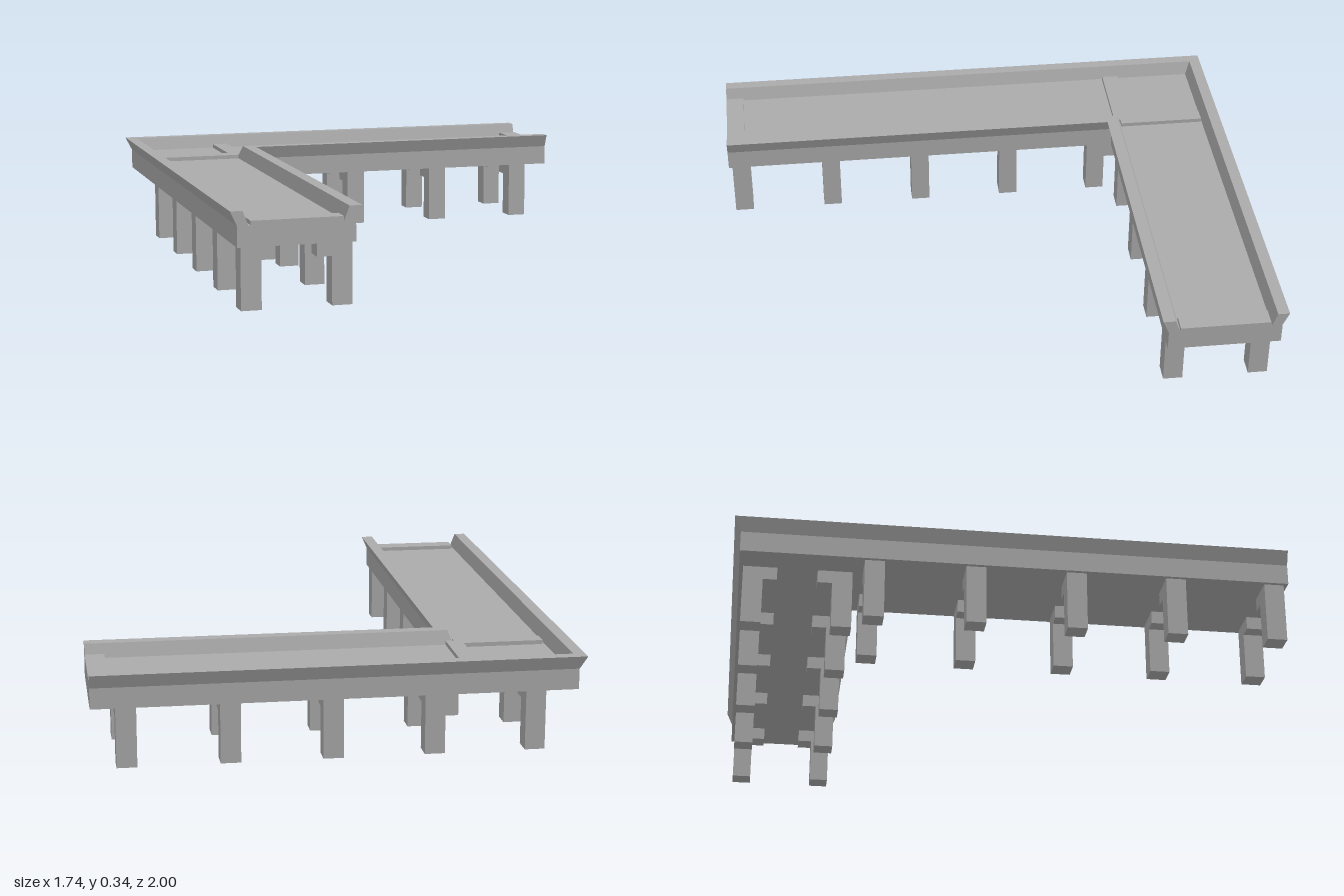
import * as THREE from 'three';

const X0 = -0.87, Z0 = -1, X1 = 0.87, Z1 = 1; // outer corner and the two arm ends
const FLOOR = 0.295;

export function createModel() {
  const model = new THREE.Group();
  model.name = 'cornerWalkway';
  const stone = new THREE.MeshStandardMaterial({ color: 0xaaaaaa });
  stone.name = 'grey stone';

  const add = (parent, name, geometry) => {
    const mesh = new THREE.Mesh(geometry, stone);
    mesh.name = name;
    parent.add(mesh);
    return mesh;
  };
  // box from its minimum and maximum corners
  const block = (parent, name, a, b) => {
    const mesh = add(parent, name, new THREE.BoxGeometry(b[0] - a[0], b[1] - a[1], b[2] - a[2]));
    mesh.position.set((a[0] + b[0]) / 2, (a[1] + b[1]) / 2, (a[2] + b[2]) / 2);
    return mesh;
  };

  // deck: trough profile (distance from outer edge, height) swept round a mitred corner
  const profile = [
    [0.023, 0.22], [0.438, 0.22], [0.438, 0.295], [0.46, 0.345], [0.415, 0.345],
    [0.396, FLOOR], [0.062, FLOOR], [0.043, 0.345], [0, 0.345], [0.023, 0.295],
  ].map(([o, y]) => new THREE.Vector2(o, y));
  const sections = [
    profile.map(p => [X0 + p.x, p.y, Z1]),
    profile.map(p => [X0 + p.x, p.y, Z0 + p.x]),
    profile.map(p => [X1, p.y, Z0 + p.x]),
  ];
  const positions = [];
  const tri = (a, b, c) => positions.push(...a, ...b, ...c);
  for (let s = 0; s < 2; s++) {
    const near = sections[s], far = sections[s + 1];
    for (let i = 0; i < profile.length; i++) {
      const j = (i + 1) % profile.length;
      tri(near[i], far[i], near[j]);
      tri(near[j], far[i], far[j]);
    }
  }
  for (const [a, b, c] of THREE.ShapeUtils.triangulateShape(profile, [])) {
    tri(sections[0][a], sections[0][b], sections[0][c]);
    tri(sections[2][a], sections[2][c], sections[2][b]);
  }
  const deck = new THREE.BufferGeometry();
  deck.setAttribute('position', new THREE.Float32BufferAttribute(positions, 3));
  deck.computeVertexNormals();
  add(model, 'deck', deck);

  // raised sills across the two open ends
  block(model, 'frontSill', [-0.8, FLOOR - 0.01, 0.93], [-0.475, 0.31, Z1]);
  block(model, 'sideSill', [0.8, FLOOR - 0.01, -0.935], [X1, 0.31, -0.605]);

  // raised L-shaped sill framing the corner (shape y becomes -z)
  const frame = new THREE.Shape([
    [-0.8, 0.58], [-0.475, 0.58], [-0.475, 0.605], [-0.445, 0.605],
    [-0.445, 0.935], [-0.505, 0.935], [-0.505, 0.645], [-0.8, 0.645],
  ].map(([x, y]) => new THREE.Vector2(x, y)));
  const frameGeometry = new THREE.ExtrudeGeometry(frame, { depth: 0.025, bevelEnabled: false });
  frameGeometry.rotateX(-Math.PI / 2);
  add(model, 'cornerSill', frameGeometry).position.y = FLOOR - 0.01;

  // pairs of legs with inward brackets under each arm
  const rows = [
    { post: [0.037, 0.109], bracket: [0.109, 0.159] },
    { post: [0.356, 0.428], bracket: [0.303, 0.356] },
  ];
  for (const alongX of [false, true]) {
    for (let i = 0; i < 5; i++) {
      const centre = alongX ? -0.697 + i * 0.361 : 0.95 - i * 0.3625;
      for (const { post, bracket } of rows) {
        const leg = new THREE.Group();
        leg.name = alongX ? 'backArmLeg' : 'frontArmLeg';
        model.add(leg);
        const piece = (name, [o0, o1], y0) => alongX
          ? block(leg, name, [centre - 0.036, y0, Z0 + o0], [centre + 0.036, 0.22, Z0 + o1])
          : block(leg, name, [X0 + o0, y0, centre - 0.036], [X0 + o1, 0.22, centre + 0.036]);
        piece('post', post, 0);
        piece('bracket', bracket, 0.172);
      }
    }
  }
  return model;
}
